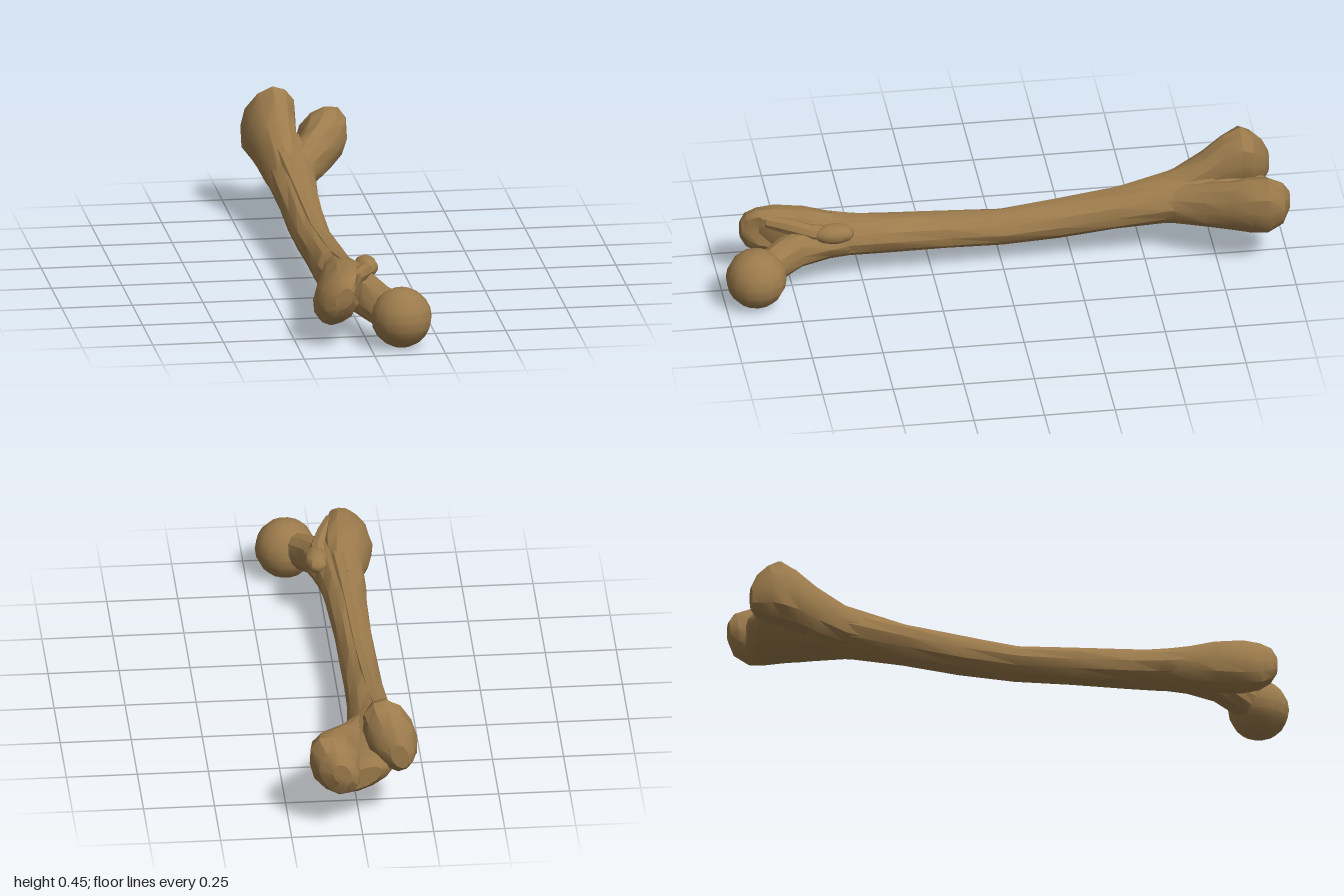
import * as THREE from 'three';
import { toCreasedNormals } from 'three/addons/utils/BufferGeometryUtils.js';

const bone = new THREE.MeshStandardMaterial({ color: 0x9c7b4c });

function addPart(group, name, geometry) {
  const mesh = new THREE.Mesh(toCreasedNormals(geometry, 0.5), bone);
  mesh.name = name;
  group.add(mesh);
  return mesh;
}

// Skin over elliptical rings, listed by rising z: [z, x, y, radiusA, radiusB, tilt in degrees]
function loft(sections, sides = 12, shape = null) {
  const points = [], faces = [];
  sections.forEach(([z, cx, cy, a, b, tilt = 0], i) => {
    const t = THREE.MathUtils.degToRad(tilt);
    for (let j = 0; j < sides; j++) {
      const angle = (j / sides) * Math.PI * 2 - t;
      // slight unevenness, as on a natural bone
      const k = 1 + 0.025 * Math.sin(i * 2.3 + j * 1.9);
      const u = a * k * Math.cos(angle), v = b * k * Math.sin(angle);
      const p = new THREE.Vector3(
        cx + u * Math.cos(t) - v * Math.sin(t),
        cy + u * Math.sin(t) + v * Math.cos(t), z);
      if (shape) shape(p);
      points.push(p.x, p.y, p.z);
    }
  });
  for (let i = 0; i < sections.length - 1; i++) {
    for (let j = 0; j < sides; j++) {
      const n = (j + 1) % sides;
      const p = i * sides + j, q = i * sides + n;
      faces.push(p, q, q + sides, p, q + sides, p + sides);
    }
  }
  // close both ends
  const last = (sections.length - 1) * sides;
  for (let j = 1; j < sides - 1; j++) {
    faces.push(0, j + 1, j, last, last + j, last + j + 1);
  }
  const geometry = new THREE.BufferGeometry();
  geometry.setAttribute('position', new THREE.Float32BufferAttribute(points, 3));
  geometry.setIndex(faces);
  return geometry;
}

export function createModel() {
  const group = new THREE.Group();
  group.name = 'thighBone';

  // Long, gently bowed shaft
  addPart(group, 'shaft', loft([
    [-0.75, -0.05, 0.215, 0.10, 0.085],
    [-0.6, -0.067, 0.2, 0.087, 0.083],
    [-0.4, -0.07, 0.173, 0.075, 0.073],
    [-0.2, -0.072, 0.148, 0.068, 0.068],
    [0, -0.07, 0.133, 0.066, 0.063],
    [0.2, -0.067, 0.14, 0.067, 0.066],
    [0.4, -0.063, 0.148, 0.072, 0.068],
    [0.5, -0.06, 0.153, 0.08, 0.072],
    [0.62, -0.05, 0.168, 0.092, 0.075],
    [0.72, -0.05, 0.17, 0.09, 0.08],
  ]));

  // Raised ridge along the rear of the shaft
  addPart(group, 'shaftRidge', loft([
    [-0.65, -0.095, 0.275, 0.03, 0.03],
    [-0.4, -0.08, 0.225, 0.022, 0.022],
    [0, -0.07, 0.18, 0.02, 0.018],
    [0.4, -0.06, 0.2, 0.022, 0.018],
    [0.6, -0.05, 0.225, 0.03, 0.025],
  ], 6));

  // Knee end: tall outer condyle, lower inner condyle, and the bridge between
  addPart(group, 'outerCondyle', loft([
    [-0.955, -0.135, 0.28, 0.05, 0.03, 70],
    [-0.93, -0.122, 0.295, 0.09, 0.062, 70],
    [-0.89, -0.112, 0.312, 0.122, 0.086, 70],
    [-0.85, -0.11, 0.317, 0.14, 0.09, 70],
    [-0.79, -0.107, 0.298, 0.128, 0.083, 72],
    [-0.72, -0.1, 0.258, 0.105, 0.074, 75],
    [-0.62, -0.09, 0.215, 0.085, 0.067, 80],
    [-0.45, -0.075, 0.178, 0.064, 0.06, 90],
  ]));
  addPart(group, 'innerCondyle', loft([
    [-1.0, 0.07, 0.24, 0.045, 0.03, 60],
    [-0.975, 0.08, 0.236, 0.09, 0.065, 62],
    [-0.92, 0.088, 0.236, 0.122, 0.088, 65],
    [-0.86, 0.08, 0.236, 0.115, 0.086, 65],
    [-0.8, 0.055, 0.225, 0.1, 0.08, 65],
    [-0.7, 0, 0.205, 0.085, 0.074, 70],
    [-0.6, -0.045, 0.195, 0.075, 0.065, 80],
    [-0.45, -0.07, 0.175, 0.064, 0.06, 90],
  ]));
  addPart(group, 'kneeBridge', loft([
    [-0.95, 0, 0.195, 0.08, 0.035, 155],
    [-0.92, -0.01, 0.2, 0.115, 0.06, 155],
    [-0.85, -0.02, 0.203, 0.13, 0.075, 158],
    [-0.75, -0.035, 0.207, 0.115, 0.082, 160],
    [-0.6, -0.06, 0.198, 0.083, 0.076, 160],
  ]));

  // Hip end: neck and ball
  addPart(group, 'neck', loft([
    [0.5, -0.06, 0.153, 0.07, 0.068],
    [0.62, -0.035, 0.162, 0.085, 0.068],
    [0.72, -0.005, 0.153, 0.075, 0.073],
    [0.8, 0.04, 0.132, 0.07, 0.072],
    [0.87, 0.09, 0.112, 0.075, 0.07],
  ]));
  const ball = addPart(group, 'ball', new THREE.SphereGeometry(0.107, 14, 10));
  ball.position.set(0.11, 0.106, 0.893);

  // Large knob beside the neck, hollowed on its inner face
  const hollow = new THREE.Vector3(-0.02, 0.2, 0.86);
  addPart(group, 'greaterKnob', loft([
    [0.5, -0.06, 0.155, 0.07, 0.07, 80],
    [0.62, -0.07, 0.165, 0.087, 0.073, 70],
    [0.7, -0.083, 0.17, 0.104, 0.08, 65],
    [0.8, -0.1, 0.17, 0.114, 0.079, 60],
    [0.86, -0.102, 0.175, 0.105, 0.072, 60],
    [0.9, -0.1, 0.183, 0.077, 0.052, 60],
    [0.92, -0.095, 0.188, 0.042, 0.027, 60],
  ], 14, (p) => {
    const d = p.distanceTo(hollow);
    if (d < 0.07) p.x -= 0.04 * (1 - d / 0.07);
  }));

  // Small knob behind, joined to the large one by a crest
  const small = addPart(group, 'lesserKnob', new THREE.SphereGeometry(1, 9, 7));
  small.scale.set(0.042, 0.036, 0.075);
  small.position.set(0.026, 0.213, 0.605);
  addPart(group, 'crest', loft([
    [0.58, 0.02, 0.21, 0.03, 0.025],
    [0.68, 0.012, 0.215, 0.032, 0.03],
    [0.76, -0.015, 0.23, 0.03, 0.03],
    [0.84, -0.045, 0.24, 0.022, 0.022],
  ], 8));

  return group;
}
